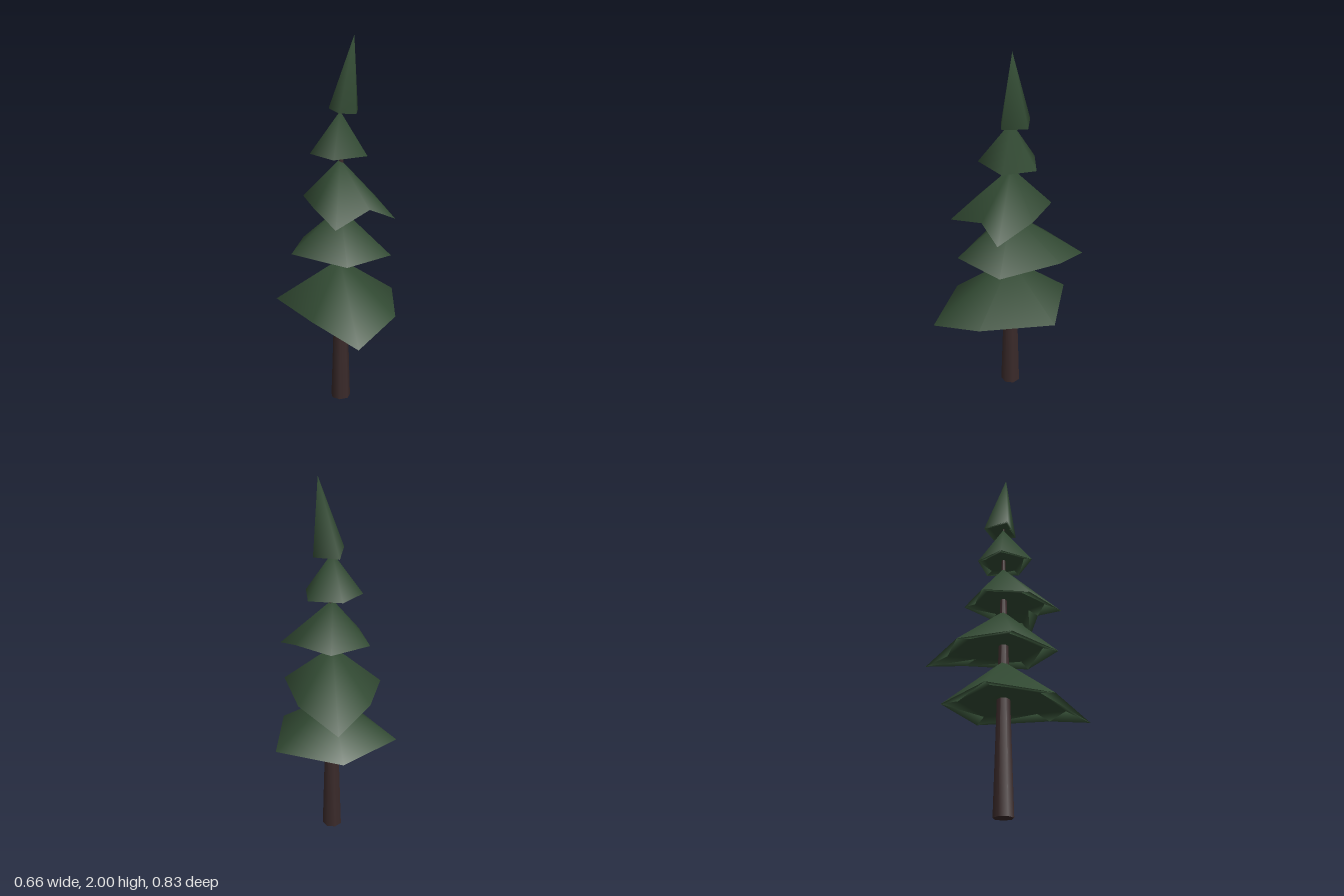
import * as THREE from 'three';

const AXIS = [0.02, -0.015];

// Foliage tier: a smooth irregular cone over a rim of [x, y, z] corners,
// with a shallow recess underneath rising to the height "recess" at the trunk
function tier(tip, rim, recess) {
  const n = rim.length;
  const center = [AXIS[0], recess, AXIS[1]];
  const ring = rim.map(([x, y, z]) => [
    THREE.MathUtils.lerp(x, center[0], 0.28),
    THREE.MathUtils.lerp(y, recess, 0.5),
    THREE.MathUtils.lerp(z, center[2], 0.28),
  ]);
  const index = [];
  for (let i = 0; i < n; i++) {
    const a = 1 + i, b = 1 + (i + 1) % n;
    index.push(0, a, b); // upper slope
    index.push(a, a + n, b, b, a + n, b + n); // lip under the rim
    index.push(2 * n + 1, b + n, a + n); // underside
  }
  const g = new THREE.BufferGeometry();
  g.setAttribute('position', new THREE.Float32BufferAttribute([tip, ...rim, ...ring, center].flat(), 3));
  g.setIndex(index);
  g.computeVertexNormals();
  return g;
}

export function createModel() {
  const group = new THREE.Group();
  const foliage = new THREE.MeshStandardMaterial({ color: 0x324a33 });
  const bark = new THREE.MeshStandardMaterial({ color: 0x3a2a2a });
  foliage.name = 'dark green needles';
  bark.name = 'dark brown bark';

  // Tapered trunk running up to the treetop
  const trunk = new THREE.Mesh(new THREE.CylinderGeometry(0.004, 0.054, 1.63, 7), bark);
  trunk.name = 'trunk';
  trunk.position.set(0.025, 0.815, -0.014);
  group.add(trunk);

  // Each tier: tip, rim corners (left, front, right, back) and height of the recess
  const tiers = [
    { name: 'lowestBranches', tip: [0.02, 0.82, -0.015], recess: 0.61,
      rim: [[-0.33, 0.575, -0.02], [-0.1, 0.575, 0.28], [0.15, 0.49, 0.413],
        [0.327, 0.575, 0.17], [0.298, 0.575, -0.23], [-0.075, 0.575, -0.32]] },
    { name: 'lowerBranches', tip: [0.02, 1.11, -0.015], recess: 0.91,
      rim: [[-0.2, 0.875, -0.205], [-0.228, 0.875, 0.09], [0.08, 0.875, 0.27],
        [0.295, 0.875, 0.06], [0.165, 0.875, -0.265], [-0.06, 0.795, -0.415]] },
    { name: 'middleBranches', tip: [0.02, 1.37, -0.015], recess: 1.18,
      rim: [[-0.183, 1.15, -0.08], [-0.1, 1.15, 0.155], [0.025, 1.08, 0.3],
        [0.185, 1.145, 0.143], [0.313, 1.08, 0.07], [0.2, 1.15, -0.115], [0, 1.15, -0.228]] },
    { name: 'upperBranches', tip: [0.02, 1.62, -0.015], recess: 1.425,
      rim: [[-0.135, 1.4, 0.01], [0, 1.4, 0.152], [0.165, 1.4, 0.04],
        [0.128, 1.4, -0.135], [-0.05, 1.4, -0.14]] },
    { name: 'treetop', tip: [0.09, 2, -0.015], recess: 1.635,
      rim: [[-0.035, 1.64, 0.025], [0.02, 1.615, 0.035], [0.106, 1.615, 0.038],
        [0.106, 1.615, -0.092], [-0.03, 1.615, -0.113]] },
  ];
  for (const t of tiers) {
    const mesh = new THREE.Mesh(tier(t.tip, t.rim, t.recess), foliage);
    mesh.name = t.name;
    group.add(mesh);
  }
  return group;
}
